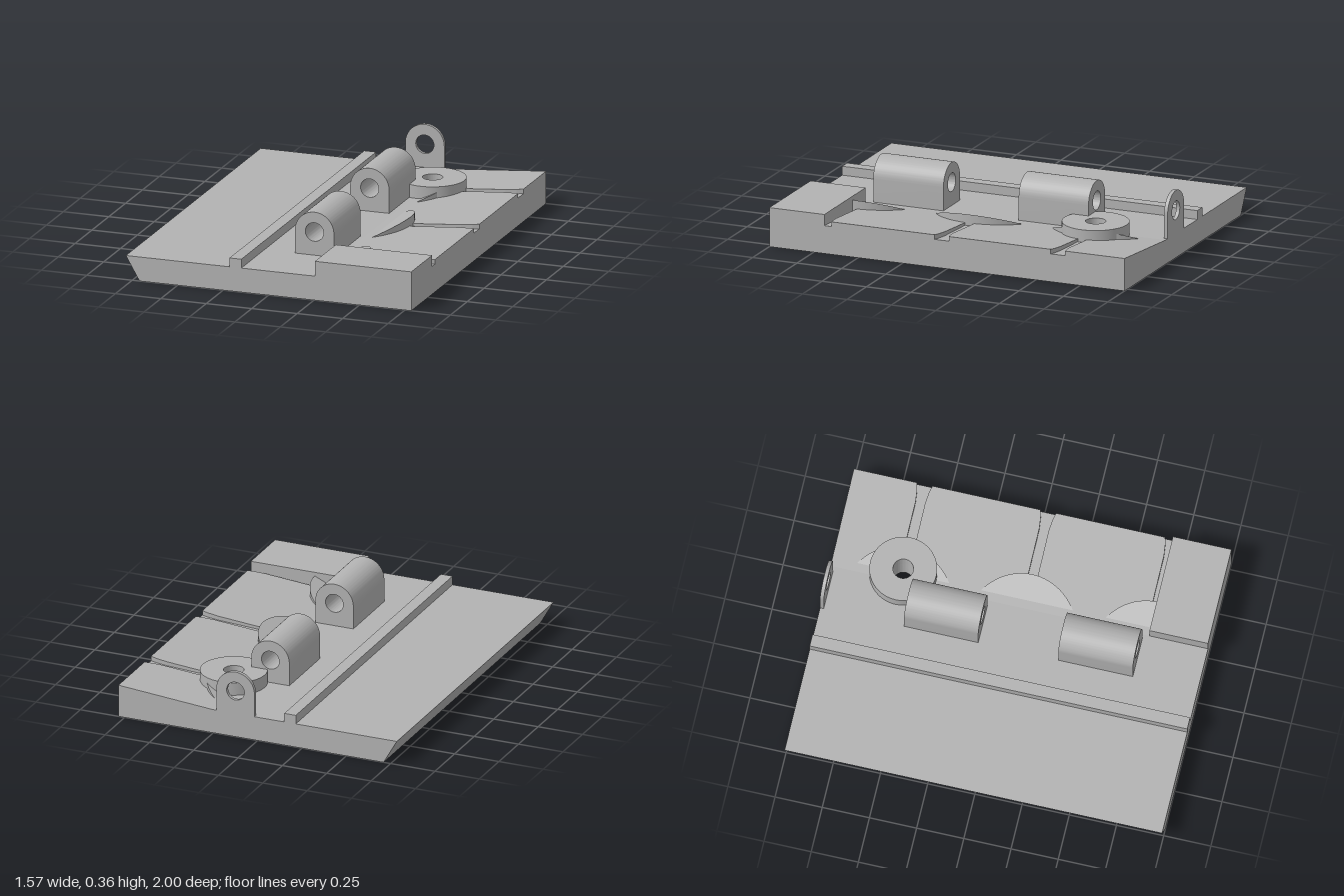
import * as THREE from 'three';
import { toCreasedNormals } from 'three/addons/utils/BufferGeometryUtils.js';

const grey = new THREE.MeshStandardMaterial({ color: 0xb2b2b2 });
grey.name = 'plain grey';

const RIGHT = 0.785, STEP = 0.255, FLOOR = 0.13, BLOCK_Z = 0.69;
const AXIS_X = 0.125;                     // hinge axis
const STATIONS = [-0.625, 0.03, 0.69];    // z of each pivot and groove
const RING_X = 0.3, HOLE_R = 0.053;
const slope = (x) => FLOOR + (0.045 * (x - STEP)) / (RIGHT - STEP);

export function createModel() {
  const model = new THREE.Group();

  const add = (name, geometry) => {
    const mesh = new THREE.Mesh(geometry, grey);
    mesh.name = name;
    model.add(mesh);
    return mesh;
  };

  const box = (name, x0, x1, y0, y1, z0, z1) =>
    add(name, new THREE.BoxGeometry(x1 - x0, y1 - y0, z1 - z0))
      .position.set((x0 + x1) / 2, (y0 + y1) / 2, (z0 + z1) / 2);

  // Outline drawn in plan as [x, z]
  const planShape = (points) => new THREE.Shape(points.map(([x, z]) => new THREE.Vector2(x, -z)));
  const circle = (x, y, r) => new THREE.Path().absarc(x, y, r, 0, Math.PI * 2, true);

  // Raise a plan shape from y0 to y1, where y1 may be a function of x
  const raise = (shape, y0, y1, curveSegments = 32) => {
    const g = new THREE.ExtrudeGeometry(shape, { depth: 1, bevelEnabled: false, curveSegments });
    g.rotateX(-Math.PI / 2);
    const p = g.attributes.position;
    for (let i = 0; i < p.count; i++) {
      const top = typeof y1 === 'function' ? y1(p.getX(i)) : y1;
      p.setY(i, p.getY(i) > 0.5 ? top : y0);
    }
    g.computeVertexNormals();
    return g;
  };

  // Base slab with undercut left edge and a through hole
  const slab = planShape([[-RIGHT, -1], [-RIGHT, 1], [RIGHT, 1], [RIGHT, -1]]);
  slab.holes.push(circle(RING_X, -STATIONS[0], HOLE_R));
  const slabGeo = raise(slab, 0, FLOOR);
  const sp = slabGeo.attributes.position;
  for (let i = 0; i < sp.count; i++) {
    if (sp.getY(i) < 0.01 && sp.getX(i) < -0.7) sp.setX(i, -0.71);
  }
  slabGeo.computeVertexNormals();
  add('baseSlab', toCreasedNormals(slabGeo, 0.5));

  // Long ridge and raised front corner
  box('ridge', -0.215, -0.15, FLOOR, 0.178, -1, 1);
  box('cornerBlock', STEP, RIGHT, FLOOR, 0.21, BLOCK_Z, 1);

  // Sloping deck, notched by flared grooves on its right edge
  const flare = [[RIGHT, 0.041], [0.75, 0.032], [0.69, 0.025]];
  const deck = [[STEP, -1], [RIGHT, -1]];
  STATIONS.forEach((c, i) => {
    const start = i === 0 ? 0.45 : 0.425;
    flare.forEach(([x, w]) => deck.push([x, c - w]));
    deck.push([start, c - 0.025]);
    if (i < 2) {
      deck.push([start, c + 0.025]);
      [...flare].reverse().forEach(([x, w]) => deck.push([x, c + w]));
    } else {
      deck.push([start, BLOCK_Z]);
    }
  });
  // clearance for the through hole, hidden inside the ring
  const n = 0.075, c0 = STATIONS[0];
  deck.push([STEP, BLOCK_Z], [STEP, c0 + n], [0.38, c0 + n], [0.38, c0 - n], [STEP, c0 - n]);
  add('slopingDeck', raise(planShape(deck), FLOOR, slope));

  STATIONS.forEach((c, i) => {
    // Groove floor
    const end = i < 2 ? c + 0.041 : BLOCK_Z;
    const strip = planShape([[0.425, c - 0.041], [0.425, end], [RIGHT, end], [RIGHT, c - 0.041]]);
    add('grooveFloor', raise(strip, FLOOR, (x) => FLOOR + 0.02 * (x - 0.425) / 0.36));

    // Tilted round segment beside the hinge axis
    const a = Math.acos((RING_X - AXIS_X) / 0.3);
    const arc = [];
    for (let k = 0; k <= 24; k++) {
      const t = -a + (2 * a * k) / 24;
      arc.push([AXIS_X + 0.3 * Math.cos(t), c + 0.3 * Math.sin(t)]);
    }
    if (i > 0) {
      const seg = raise(planShape(arc), FLOOR, (x) => slope(RING_X) + 0.45 * (x - RING_X));
      add('roundSegment', toCreasedNormals(seg, 0.3));
    } else {
      // two tips of the segment show either side of the ring
      for (const s of [-1, 1]) {
        const tip = arc.filter(([, z]) => s * (z - c) > 0.1);
        tip.push([RING_X, c + s * 0.1]);
        if (s < 0) tip.unshift(tip.pop());
        const seg = raise(planShape(tip), FLOOR, (x) => slope(RING_X) + 0.45 * (x - RING_X));
        add('roundSegment', toCreasedNormals(seg, 0.3));
      }
    }
  });

  // Flat ring around the through hole
  const ring = new THREE.Shape().absarc(RING_X, -STATIONS[0], 0.175, 0, Math.PI * 2, false);
  ring.holes.push(circle(RING_X, -STATIONS[0], HOLE_R));
  add('pivotRing', toCreasedNormals(raise(ring, FLOOR, 0.2), 0.5));

  // Hinge lugs with rounded tops and a bore along z
  const lug = new THREE.Shape();
  lug.moveTo(AXIS_X - 0.107, FLOOR);
  lug.lineTo(AXIS_X + 0.107, FLOOR);
  lug.lineTo(AXIS_X + 0.107, 0.255);
  lug.absarc(AXIS_X, 0.255, 0.107, 0, Math.PI, false);
  lug.closePath();
  lug.holes.push(circle(AXIS_X, 0.255, 0.05));
  for (const [z0, z1] of [[-1, -0.98], [-0.555, -0.162], [0.262, 0.657]]) {
    const g = new THREE.ExtrudeGeometry(lug, { depth: z1 - z0, bevelEnabled: false, curveSegments: 28 });
    add('hingeLug', toCreasedNormals(g, 0.5)).position.z = z0;
  }

  return model;
}
